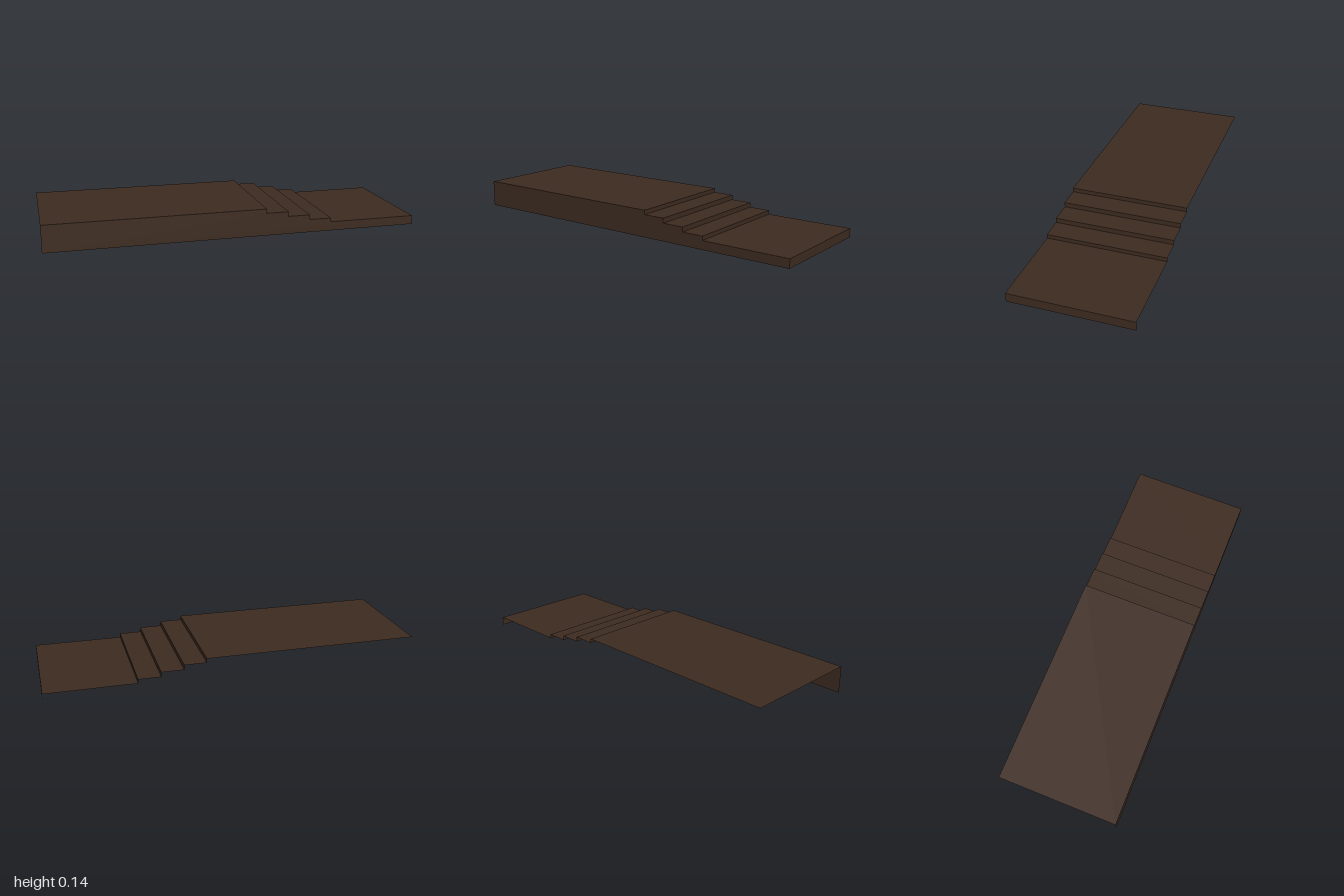
import * as THREE from 'three';

const HALF_DEPTH = 0.325;
// Each step: start x, end x, height
const STEPS = [
  [-1, 0.16, 0.145],
  [0.16, 0.28, 0.122],
  [0.28, 0.4, 0.096],
  [0.4, 0.52, 0.07],
  [0.52, 1, 0.048],
];

export function createModel() {
  const group = new THREE.Group();
  group.name = 'steppedPlatform';
  const darkBrown = new THREE.MeshStandardMaterial({ color: 0x3d2b20, side: THREE.DoubleSide });
  darkBrown.name = 'darkBrown';

  const add = (name, geometry) => {
    const mesh = new THREE.Mesh(geometry, darkBrown);
    mesh.name = name;
    group.add(mesh);
  };

  // Treads face up; risers face +x, the last one closing the low end
  STEPS.forEach(([x0, x1, y], i) => {
    const last = i === STEPS.length - 1;
    const nextY = last ? 0 : STEPS[i + 1][2];
    add(i === 0 ? 'upperDeck' : last ? 'lowerDeck' : `tread${i}`,
      new THREE.PlaneGeometry(x1 - x0, HALF_DEPTH * 2)
        .rotateX(-Math.PI / 2)
        .translate((x0 + x1) / 2, y, 0));
    add(last ? 'endWall' : `riser${i + 1}`,
      new THREE.PlaneGeometry(HALF_DEPTH * 2, y - nextY)
        .rotateY(Math.PI / 2)
        .translate(x1, (y + nextY) / 2, 0));
  });

  // Front wall follows the stepped outline; back, high end and underside are open
  const outline = new THREE.Shape();
  outline.moveTo(-1, 0);
  outline.lineTo(1, 0);
  for (const [x0, x1, y] of [...STEPS].reverse()) {
    outline.lineTo(x1, y);
    outline.lineTo(x0, y);
  }
  add('frontWall', new THREE.ShapeGeometry(outline).translate(0, 0, HALF_DEPTH));

  return group;
}
